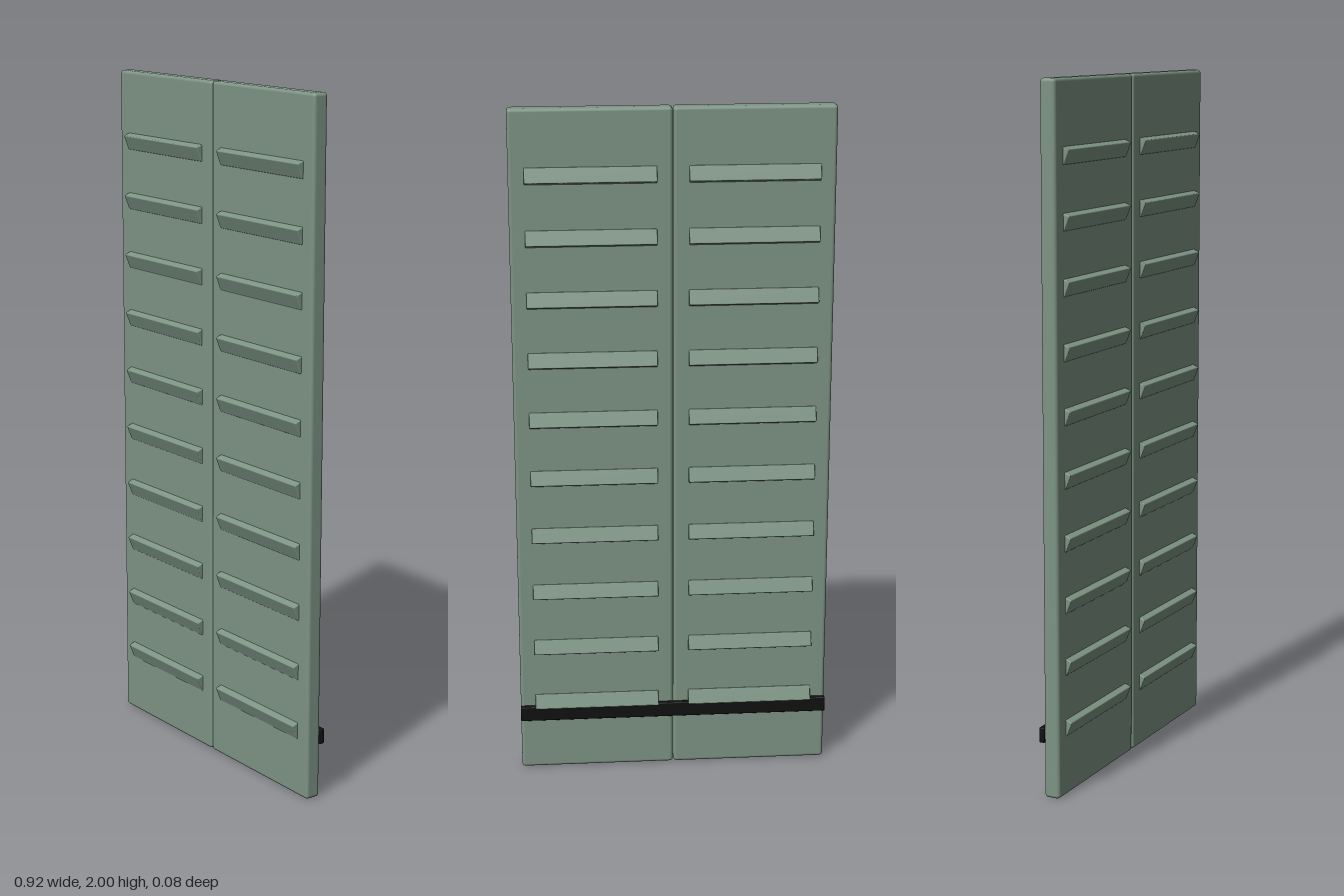
import * as THREE from 'three';
import { RoundedBoxGeometry } from 'three/addons/geometries/RoundedBoxGeometry.js';

const SLATS = 10;
const PANEL_W = 0.458, PANEL_D = 0.047;

export function createModel() {
  const model = new THREE.Group();
  model.name = 'louveredShutters';
  const paint = new THREE.MeshStandardMaterial({ color: 0x7d9484 });
  const black = new THREE.MeshStandardMaterial({ color: 0x111111 });

  const panelGeo = new RoundedBoxGeometry(PANEL_W, 2, PANEL_D, 3, 0.01);
  const slatGeo = new RoundedBoxGeometry(0.37, 0.045, 0.072, 2, 0.003);

  const add = (parent, name, geometry, material, x, y, z) => {
    const mesh = new THREE.Mesh(geometry, material);
    mesh.name = name;
    mesh.position.set(x, y, z);
    parent.add(mesh);
    return mesh;
  };

  // Two mirrored leaves, each with a column of tilted slats
  for (const side of [-1, 1]) {
    const leaf = new THREE.Group();
    leaf.name = side > 0 ? 'leftShutter' : 'rightShutter';
    leaf.position.x = side * 0.23;
    add(leaf, 'panel', panelGeo, paint, 0, 1, -0.001);
    for (let i = 0; i < SLATS; i++) {
      const slat = add(leaf, 'slat', slatGeo, paint, 0, 0.207 + i * 0.1774, -0.001);
      slat.rotation.x = 0.38; // front edge lower than the back
    }
    model.add(leaf);
  }

  // Locking bar across the back
  add(model, 'lockingBar', new RoundedBoxGeometry(0.92, 0.045, 0.016, 2, 0.003), black, 0, 0.182, -0.031);

  return model;
}
